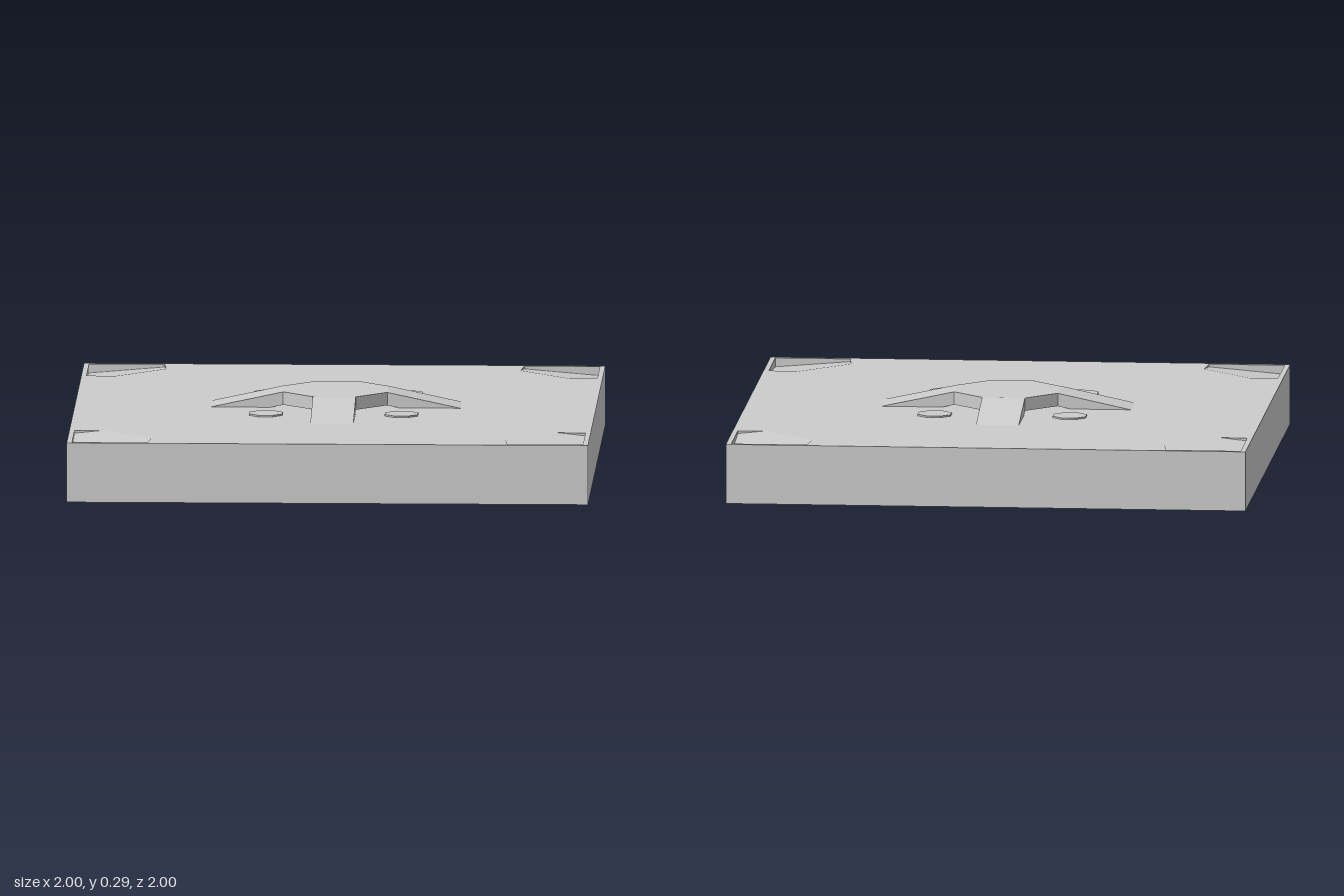
import * as THREE from 'three';

const TOP = 0.23;
// outline of one sunken corner, (x, z)
const CORNER = [[0.98, 0.98], [0.98, 0.69], [0.87, 0.68], [0.68, 0.87], [0.69, 0.98]];

export function createModel() {
  const model = new THREE.Group();
  const mat = new THREE.MeshStandardMaterial({ color: 0xcccccc, flatShading: true, side: THREE.DoubleSide });

  const add = (geo, name, parent = model) => {
    const mesh = new THREE.Mesh(geo, mat);
    mesh.name = name;
    parent.add(mesh);
    return mesh;
  };
  // four copies by quarter turns about y
  const quarters = (geo, name) => {
    for (let i = 0; i < 4; i++) add(geo, name).rotation.y = i * Math.PI / 2;
  };
  const toShape = pts => new THREE.Shape(pts.map(p => new THREE.Vector2(p[0], p[1])));

  // top panel with a hole at each sunken corner
  const panel = toShape([[-1, -1], [1, -1], [1, 1], [-1, 1]]);
  for (const sx of [-1, 1]) {
    for (const sz of [-1, 1]) {
      panel.holes.push(new THREE.Path(CORNER.map(([x, z]) => new THREE.Vector2(x * sx, z * sz))));
    }
  }
  add(new THREE.ShapeGeometry(panel).rotateX(-Math.PI / 2).translate(0, TOP, 0), 'topPanel');

  // thin outer walls, open underneath
  quarters(new THREE.PlaneGeometry(2, TOP).translate(0, TOP / 2, 1), 'sideWall');

  // sunken corners: a floor sloping down to the corner, with upright edges
  const floorPt = ([x, z]) => [x, TOP - 0.085 * Math.max(0, x + z - 1.55), z];
  const rimPt = ([x, z]) => [x, TOP, z];
  const pos = [];
  for (let i = 1; i < CORNER.length - 1; i++) {
    pos.push(...floorPt(CORNER[0]), ...floorPt(CORNER[i]), ...floorPt(CORNER[i + 1]));
  }
  CORNER.forEach((a, i) => {
    const b = CORNER[(i + 1) % CORNER.length];
    if (i === 2) return; // the diagonal edge is level with the panel
    pos.push(...floorPt(a), ...rimPt(a), ...rimPt(b), ...floorPt(a), ...rimPt(b), ...floorPt(b));
  });
  const recess = new THREE.BufferGeometry();
  recess.setAttribute('position', new THREE.Float32BufferAttribute(pos, 3));
  recess.computeVertexNormals();
  quarters(recess, 'cornerRecess');

  // raised octagonal hub
  const hub = toShape([[0.2, -0.08], [0.2, 0.08], [0.08, 0.2], [-0.08, 0.2],
    [-0.2, 0.08], [-0.2, -0.08], [-0.08, -0.2], [0.08, -0.2]]);
  add(new THREE.ExtrudeGeometry(hub, { depth: 0.05, bevelEnabled: false })
    .rotateX(-Math.PI / 2).translate(0, 0.24, 0), 'hub');

  // four arms sloping down through the panel towards the walls
  const arm = toShape([[0.2, 0.24], [0.98, 0.075], [0.98, 0.123], [0.2, 0.29]]);
  quarters(new THREE.ExtrudeGeometry(arm, { depth: 0.165, bevelEnabled: false })
    .translate(0, 0, -0.0825), 'slopingArm');

  // octagonal studs, capped on top and open below
  const stud = new THREE.CylinderGeometry(0.069, 0.069, 0.036, 8, 1, true)
    .rotateY(Math.PI / 8).translate(0.26, 0.218, 0.26);
  const cap = new THREE.CircleGeometry(0.069, 8).rotateX(-Math.PI / 2)
    .rotateY(Math.PI / 8).translate(0.26, 0.236, 0.26);
  quarters(stud, 'studSide');
  quarters(cap, 'studCap');

  return model;
}
